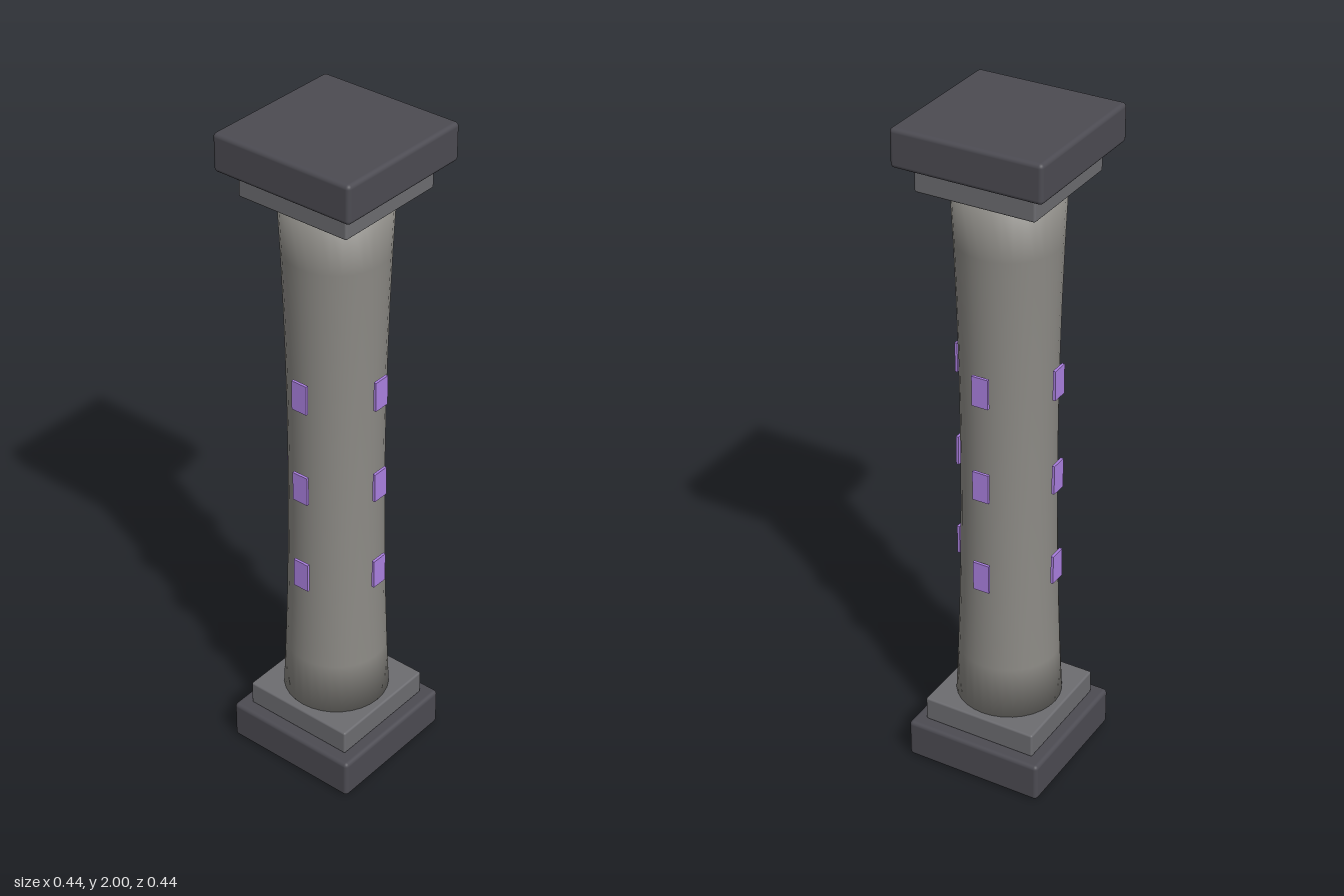
import * as THREE from 'three';
import { RoundedBoxGeometry } from 'three/addons/geometries/RoundedBoxGeometry.js';

const material = (color) => new THREE.MeshStandardMaterial({ color });

export function createModel() {
  const model = new THREE.Group();
  const dark = material(0x4c4b52);
  const grey = material(0x6c6c70);
  const stone = material(0x8c8a85);
  const purple = material(0xab80e0);

  // Square slab with softened edges, between two heights
  const slab = (name, half, y0, y1, radius, mat) => {
    const geometry = new RoundedBoxGeometry(half * 2, y1 - y0, half * 2, 3, radius);
    const mesh = new THREE.Mesh(geometry, mat);
    mesh.name = name;
    mesh.position.y = (y0 + y1) / 2;
    model.add(mesh);
  };
  slab('basePlinth', 0.214, 0, 0.12, 0.012, dark);
  slab('baseStep', 0.177, 0.12, 0.195, 0.006, grey);
  slab('capitalStep', 0.177, 1.815, 1.89, 0.006, grey);
  slab('capitalSlab', 0.221, 1.89, 2, 0.012, dark);

  // Shaft: waisted column, closed at both ends with soft end shading
  const bottom = 0.195, top = 1.815, rings = 10;
  const profile = [new THREE.Vector2(0, bottom)];
  for (let i = 0; i <= rings; i++) {
    const t = (2 * i) / rings - 1;
    profile.push(new THREE.Vector2(0.134 + 0.02 * t * t, THREE.MathUtils.lerp(bottom, top, i / rings)));
  }
  profile.push(new THREE.Vector2(0, top));
  const shaft = new THREE.Mesh(new THREE.LatheGeometry(profile, 32), stone);
  shaft.name = 'shaft';
  model.add(shaft);

  // Thin inlay plates hovering just off the shaft, three per side
  const plate = new THREE.BoxGeometry(0.05, 0.09, 0.008);
  for (let side = 0; side < 4; side++) {
    const column = new THREE.Group();
    column.name = 'inlayColumn' + (side + 1);
    column.rotation.y = (side * Math.PI) / 2;
    for (const y of [0.67, 0.967, 1.264]) {
      const mesh = new THREE.Mesh(plate, purple);
      mesh.name = 'inlayPlate';
      mesh.position.set(0, y, 0.152);
      column.add(mesh);
    }
    model.add(column);
  }
  return model;
}
